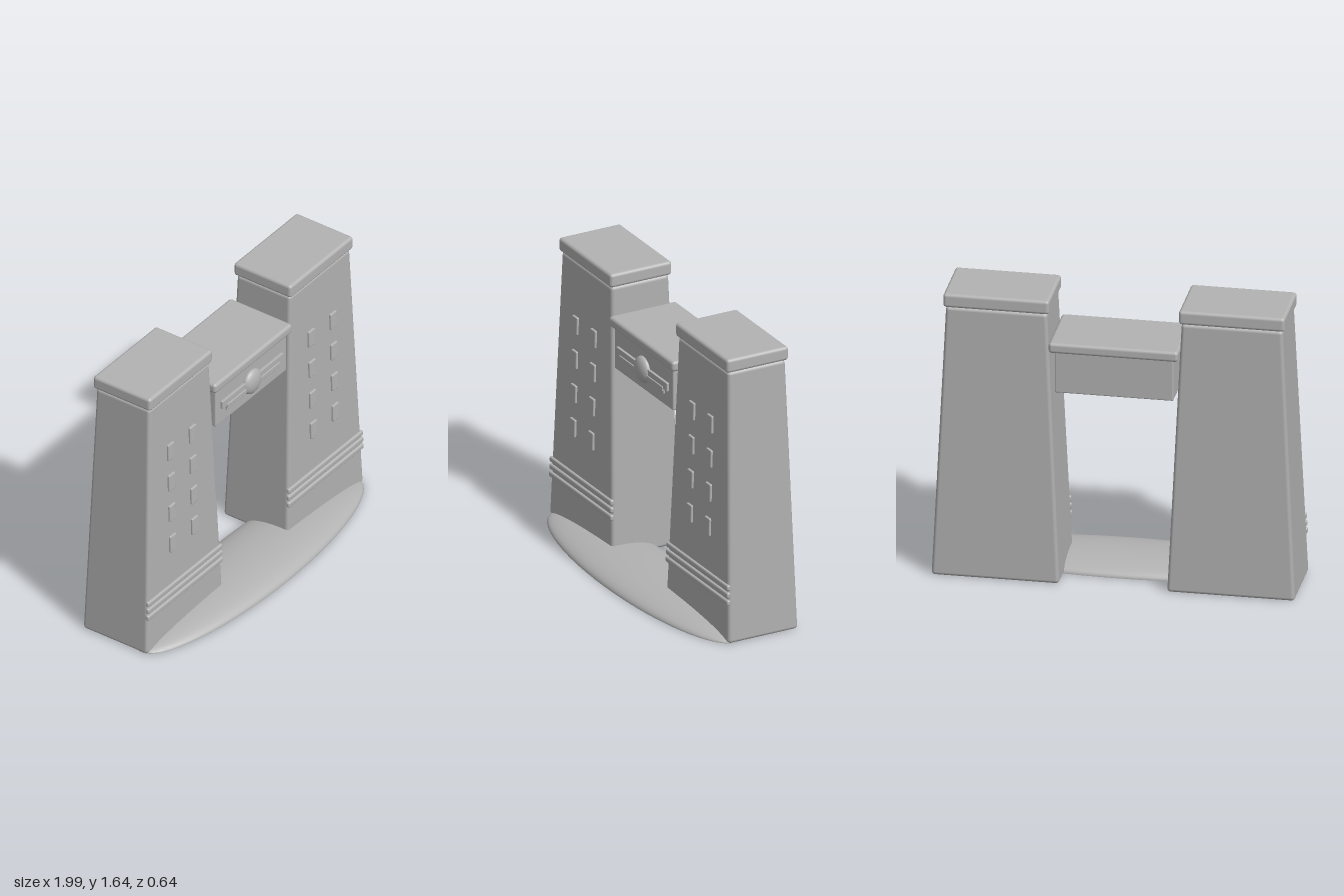
import * as THREE from 'three';
import { RoundedBoxGeometry } from 'three/addons/geometries/RoundedBoxGeometry.js';

const stone = new THREE.MeshStandardMaterial({ color: 0xb2b2b2 });
stone.name = 'grey stone';

// Tower taper, bottom to top
const H = 1.565, ZC = -0.105, XB = 0.645;
const BOTTOM = { w: 0.7, d: 0.43 }, TOP = { w: 0.555, d: 0.355 };
const frontZ = (y) => ZC + THREE.MathUtils.lerp(BOTTOM.d, TOP.d, y / H) / 2;
const slope = -Math.atan((BOTTOM.d - TOP.d) / 2 / H);

function add(parent, name, geometry, x = 0, y = 0, z = 0) {
  const mesh = new THREE.Mesh(geometry, stone);
  mesh.name = name;
  mesh.position.set(x, y, z);
  parent.add(mesh);
  return mesh;
}

// Rounded block given by its limits on each axis
function block(parent, name, [x0, x1], [y0, y1], [z0, z1], r) {
  const g = new RoundedBoxGeometry(x1 - x0, y1 - y0, z1 - z0, 3, r);
  return add(parent, name, g, (x0 + x1) / 2, (y0 + y1) / 2, (z0 + z1) / 2);
}

function taperedShaft() {
  const g = new RoundedBoxGeometry(1, H, 1, 3, 0.02);
  const p = g.attributes.position;
  for (let i = 0; i < p.count; i++) {
    const t = p.getY(i) / H + 0.5;
    const w = THREE.MathUtils.lerp(BOTTOM.w, TOP.w, t);
    const d = THREE.MathUtils.lerp(BOTTOM.d, TOP.d, t);
    // keep the corner radius while resizing
    const resize = (v, s) => v + Math.sign(v) * (s - 1) / 2;
    p.setX(i, resize(p.getX(i), w));
    p.setZ(i, resize(p.getZ(i), d));
  }
  return g;
}

function makeTower(side) {
  const tower = new THREE.Group();
  tower.name = side > 0 ? 'leftTower' : 'rightTower';
  tower.position.x = side * XB;
  add(tower, 'shaft', taperedShaft(), 0, H / 2, ZC);
  block(tower, 'cap', [-0.29, 0.29], [1.565, 1.645], [-0.295, 0.085], 0.018);

  // Raised windows in two columns
  for (const x of [-0.1, 0.1]) {
    for (const y of [0.6, 0.8, 1.0, 1.2]) {
      const g = new RoundedBoxGeometry(0.057, 0.102, 0.03, 2, 0.006);
      add(tower, 'window', g, x, y, frontZ(y) - 0.003).rotation.x = slope;
    }
  }
  // Three ribs across the front
  for (const y of [0.238, 0.282, 0.325]) {
    const w = THREE.MathUtils.lerp(BOTTOM.w, TOP.w, y / H) + 0.012;
    const g = new RoundedBoxGeometry(w, 0.033, 0.024, 3, 0.01);
    add(tower, 'rib', g, 0, y, frontZ(y));
  }
  return tower;
}

function makeBridge() {
  const bridge = new THREE.Group();
  bridge.name = 'bridge';
  block(bridge, 'bridgeBeam', [-0.325, 0.325], [1.11, 1.36], [-0.285, 0.08], 0.008);
  block(bridge, 'bridgeLid', [-0.355, 0.355], [1.35, 1.41], [-0.315, 0.1], 0.018);

  // Winged disc
  add(bridge, 'disc', new THREE.SphereGeometry(0.075, 32, 20), 0, 1.23, 0.085).scale.z = 0.47;
  for (const s of [-1, 1]) {
    const wing = (x0, x1) => [Math.min(s * x0, s * x1), Math.max(s * x0, s * x1)];
    block(bridge, 'wing', wing(0.03, 0.28), [1.208, 1.256], [0.07, 0.094], 0.003);
    block(bridge, 'innerWing', wing(0.03, 0.235), [1.176, 1.212], [0.07, 0.09], 0.003);
    block(bridge, 'wingRidge', wing(0.03, 0.24), [1.196, 1.222], [0.07, 0.1], 0.003);
  }
  return bridge;
}

// Low oval mound with a flat underside
function makeMound() {
  const mound = new THREE.Group();
  mound.name = 'mound';
  mound.position.z = 0.07;
  const dome = new THREE.SphereGeometry(1, 56, 16, 0, Math.PI * 2, 0, Math.PI / 2);
  add(mound, 'moundTop', dome).scale.set(0.99, 0.076, 0.252);
  const under = new THREE.CircleGeometry(1, 56).rotateX(Math.PI / 2);
  add(mound, 'moundUnderside', under).scale.set(0.99, 1, 0.252);
  return mound;
}

export function createModel() {
  const model = new THREE.Group();
  model.name = 'gateway';
  model.add(makeTower(1), makeTower(-1), makeBridge(), makeMound());
  return model;
}
